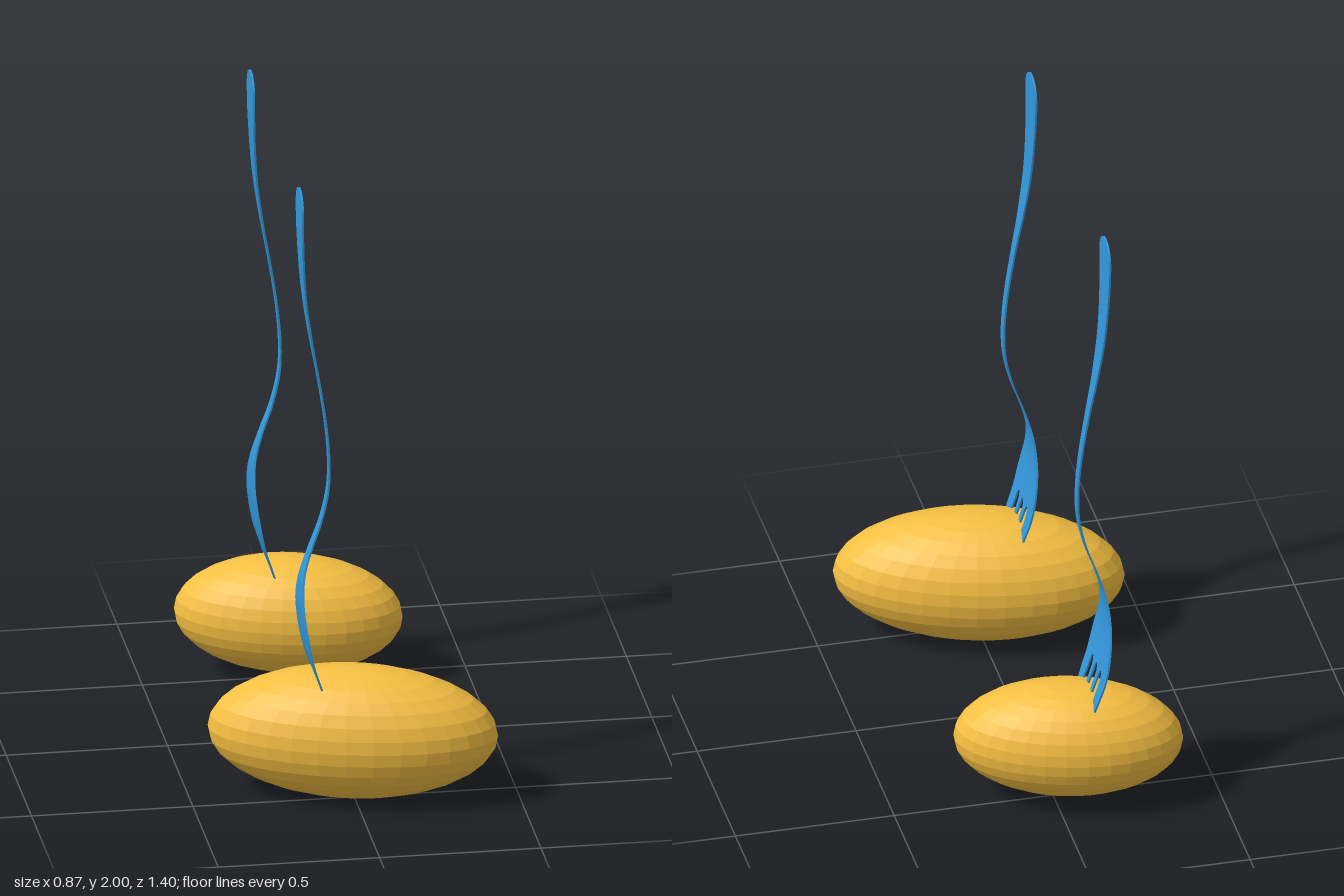
import * as THREE from 'three';
import { mergeGeometries } from 'three/addons/utils/BufferGeometryUtils.js';

const gold = new THREE.MeshStandardMaterial({ color: 0xf5bf42, flatShading: true });
const blue = new THREE.MeshStandardMaterial({ color: 0x3399dd, side: THREE.DoubleSide });

// Smooth function through [y, value] points, y ascending
function smooth(points) {
  const f = new THREE.CubicInterpolant(points.map(p => p[0]), points.map(p => p[1]), 1, [0]);
  return y => f.evaluate(y)[0];
}

// Sideways bend of the fork along its height
const bend = smooth([[0.2, -0.05], [0.3, -0.083], [0.39, -0.112], [0.46, -0.134], [0.55, -0.151],
  [0.64, -0.16], [0.72, -0.154], [0.8, -0.132], [0.9, -0.097], [1, -0.075], [1.08, -0.071],
  [1.2, -0.079], [1.37, -0.104], [1.5, -0.127], [1.65, -0.148], [1.83, -0.159], [2, -0.161]]);

// Half width of the fork outline
const outline = smooth([[0.22, 0.08], [0.38, 0.108], [0.44, 0.113], [0.5, 0.113], [0.55, 0.105],
  [0.6, 0.09], [0.68, 0.057], [0.72, 0.041], [0.77, 0.029], [0.85, 0.022], [1, 0.019],
  [1.2, 0.018], [1.4, 0.021], [1.6, 0.037], [1.78, 0.053], [1.9, 0.064], [1.935, 0.065]]);
const CAP = 1.935, CAP_R = 0.065;
const halfWidth = y => y <= CAP ? outline(y)
  : Math.sqrt(Math.max(0, CAP_R ** 2 - (y - CAP) ** 2));

// Half width of a gap between tines, rounded at its top
const GAP_TOP = 0.472;
function gap(y) {
  const d = GAP_TOP - y;
  const round = d < 0.03 ? Math.sqrt(1 - (1 - d / 0.03) ** 2) : 1;
  return round * (0.013 + 0.04 * d);
}

// Thin bent strip between two edge functions, with crisp sides
function strip(ys, left, right) {
  const t = 0.003, pos = [], idx = [];
  const corners = y => {
    const x = bend(y), a = left(y), b = right(y);
    return [[x + t, y, a], [x - t, y, a], [x - t, y, b], [x + t, y, b]];
  };
  for (let s = 0; s < 4; s++) {
    const base = pos.length / 3;
    ys.forEach((y, i) => {
      const c = corners(y);
      pos.push(...c[s], ...c[(s + 1) % 4]);
      if (i === 0) return;
      const q = base + (i - 1) * 2;
      idx.push(q, q + 2, q + 1, q + 1, q + 2, q + 3);
    });
  }
  const g = new THREE.BufferGeometry();
  g.setAttribute('position', new THREE.Float32BufferAttribute(pos, 3));
  g.setIndex(idx);
  g.computeVertexNormals();
  return g;
}

function makeFork(z) {
  const fork = new THREE.Group();
  fork.name = 'fork';

  // Handle and head, with closely spaced rows in the rounded end
  const rows = [];
  for (let i = 0; i <= 70; i++) rows.push(GAP_TOP + (CAP - GAP_TOP) * i / 70);
  for (let i = 1; i <= 10; i++) rows.push(CAP + CAP_R * Math.sin(i / 10 * Math.PI / 2));
  const handle = new THREE.Mesh(strip(rows, y => -halfWidth(y), halfWidth), blue);
  handle.name = 'forkHandle';

  // Four tines separated by three gaps
  const tineRows = [];
  for (let i = 0; i <= 20; i++) tineRows.push(GAP_TOP - 0.24 * (1 - i / 20) ** 2);
  const centres = [-0.05, 0, 0.05];
  const tineParts = [0, 1, 2, 3].map(k => strip(tineRows,
    y => k === 0 ? -halfWidth(y) : centres[k - 1] + gap(y),
    y => k === 3 ? halfWidth(y) : centres[k] - gap(y)));
  const tines = new THREE.Mesh(mergeGeometries(tineParts), blue);
  tines.name = 'forkTines';

  fork.add(handle, tines);
  fork.position.z = z;
  return fork;
}

// Faceted egg shape lying on its side, turned slightly
function makePotato(x, y, z, length, height, depth) {
  const potato = new THREE.Mesh(new THREE.SphereGeometry(1, 32, 16), gold);
  potato.name = 'potato';
  potato.scale.set(length, height, depth);
  potato.position.set(x, y, z);
  potato.rotation.y = -0.26;
  return potato;
}

export function createModel() {
  const model = new THREE.Group();
  model.name = 'potatoesOnForks';
  model.add(
    makePotato(0, 0.209, 0.472, 0.447, 0.209, 0.206),
    makePotato(-0.047, 0.21, -0.504, 0.352, 0.185, 0.184),
    makeFork(0.45),
    makeFork(-0.517));
  return model;
}
